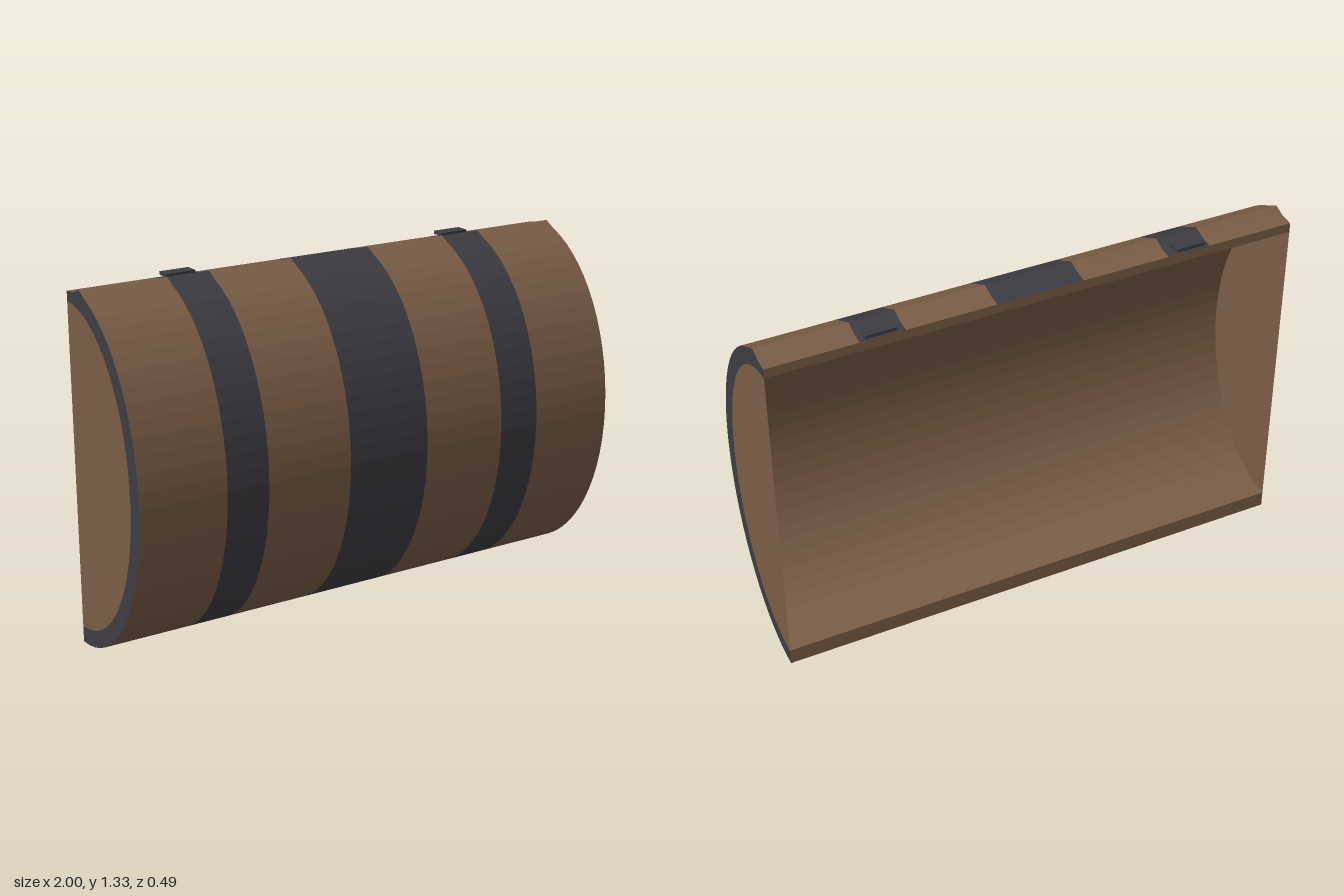
import * as THREE from 'three';

const BACK = -0.245, MID = 0.667;
const wood = new THREE.MeshStandardMaterial({ color: 0x7a5e46 });
const woodThin = new THREE.MeshStandardMaterial({ color: 0x7a5e46, side: THREE.DoubleSide });
const iron = new THREE.MeshStandardMaterial({ color: 0x3d3c42 });

// Elliptical arc in (z, y), from the bottom back edge round the front to the top
function arc(rz, ry, endAngle, steps) {
  const pts = [];
  for (let i = 0; i <= steps; i++) {
    const a = -Math.PI / 2 + (endAngle + Math.PI / 2) * i / steps;
    pts.push(new THREE.Vector2(BACK + rz * Math.cos(a), MID + ry * Math.sin(a)));
  }
  return pts;
}

// Flat-faceted strip: a (z, y) profile drawn out along x
function strip(profile, x0, x1) {
  const pos = [];
  for (let i = 0; i < profile.length - 1; i++) {
    const p = profile[i], q = profile[i + 1];
    pos.push(x0, p.y, p.x, x1, p.y, p.x, x1, q.y, q.x);
    pos.push(x0, p.y, p.x, x1, q.y, q.x, x0, q.y, q.x);
  }
  const geo = new THREE.BufferGeometry();
  geo.setAttribute('position', new THREE.Float32BufferAttribute(pos, 3));
  geo.computeVertexNormals();
  return geo;
}

export function createModel() {
  const group = new THREE.Group();
  const add = (name, geo, mat) => {
    const mesh = new THREE.Mesh(geo, mat);
    mesh.name = name;
    group.add(mesh);
    return mesh;
  };

  // Profiles; the outer one ends in a shallow hinge ledge at the top back
  const outer = arc(0.49, 0.667, Math.acos(0.095 / 0.49), 32);
  outer[outer.length - 1].y = 1.331;
  outer.push(new THREE.Vector2(-0.2, 1.312), new THREE.Vector2(BACK, 1.308));
  const inner = arc(0.425, 0.605, Math.PI / 2, 32);
  const innerBack = inner.slice().reverse();

  // Outer skin: wooden staves alternating with flush iron bands
  const cuts = [-1, -0.665, -0.5, -0.165, 0.165, 0.5, 0.665, 1];
  for (let i = 0; i < cuts.length - 1; i++) {
    const band = i % 2 === 1;
    add(band ? 'ironBand' : 'woodSection', strip(outer, cuts[i], cuts[i + 1]), band ? iron : wood);
  }

  // Hollow inside and the two flat back edges
  add('innerLining', strip(innerBack, -1, 1), wood);
  add('topBackEdge', strip([outer[outer.length - 1], innerBack[0]], -1, 1), wood);
  add('bottomBackEdge', strip([inner[0], outer[0]], -1, 1), wood);

  for (const side of [-1, 1]) {
    // Iron rim and thin wooden panel closing each end
    const rim = new THREE.ShapeGeometry(new THREE.Shape([...outer, ...innerBack]));
    const panel = new THREE.ShapeGeometry(new THREE.Shape(inner));
    for (const [name, geo, mat] of [['endRim', rim, iron.clone()], ['endPanel', panel, woodThin]]) {
      mat.side = THREE.DoubleSide;
      const mesh = add(name, geo, mat);
      mesh.rotation.y = -Math.PI / 2;
      mesh.position.x = side;
    }

    // Hinge plate on the ledge
    const hinge = add('hingePlate', new THREE.BoxGeometry(0.115, 0.012, 0.052), iron);
    hinge.position.set(side * 0.588, 1.322, -0.219);
  }
  return group;
}
